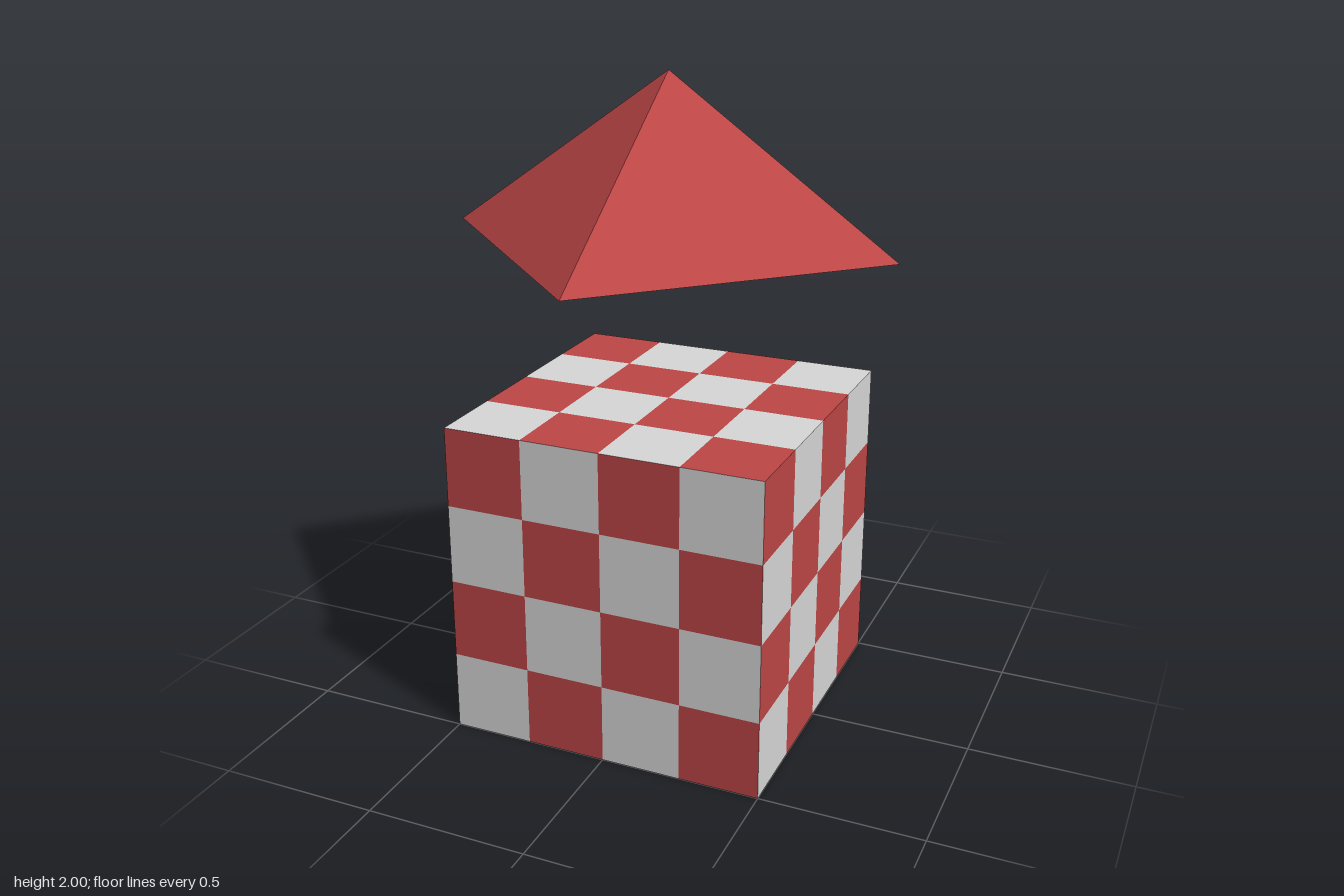
import * as THREE from 'three';

export function createModel() {
  const red = new THREE.MeshStandardMaterial({ color: 0xbe4646 });
  red.name = 'red';
  const lightGrey = new THREE.MeshStandardMaterial({ color: 0xd8d8d8 });
  lightGrey.name = 'light grey';

  const model = new THREE.Group();
  model.name = 'cubeWithFloatingPyramid';

  // Checkered cube: 4 x 4 squares on each of the six faces
  const n = 4;
  const cubeGeometry = new THREE.BoxGeometry(1, 1, 1, n, n, n);
  cubeGeometry.clearGroups();
  for (let square = 0; square < 6 * n * n; square++) {
    const column = square % n;
    const row = Math.floor(square / n) % n;
    cubeGeometry.addGroup(square * 6, 6, (column + row) % 2);
  }
  const cube = new THREE.Mesh(cubeGeometry, [red, lightGrey]);
  cube.name = 'checkeredCube';
  cube.position.y = 0.5;
  model.add(cube);

  // Flat-sided square pyramid, corners on the x and z axes, floating above
  const pyramidGeometry = new THREE.ConeGeometry(Math.SQRT1_2, 0.5, 4).toNonIndexed();
  pyramidGeometry.clearGroups();
  pyramidGeometry.computeVertexNormals();
  const pyramid = new THREE.Mesh(pyramidGeometry, red);
  pyramid.name = 'pyramid';
  pyramid.position.y = 1.75;
  model.add(pyramid);

  return model;
}
